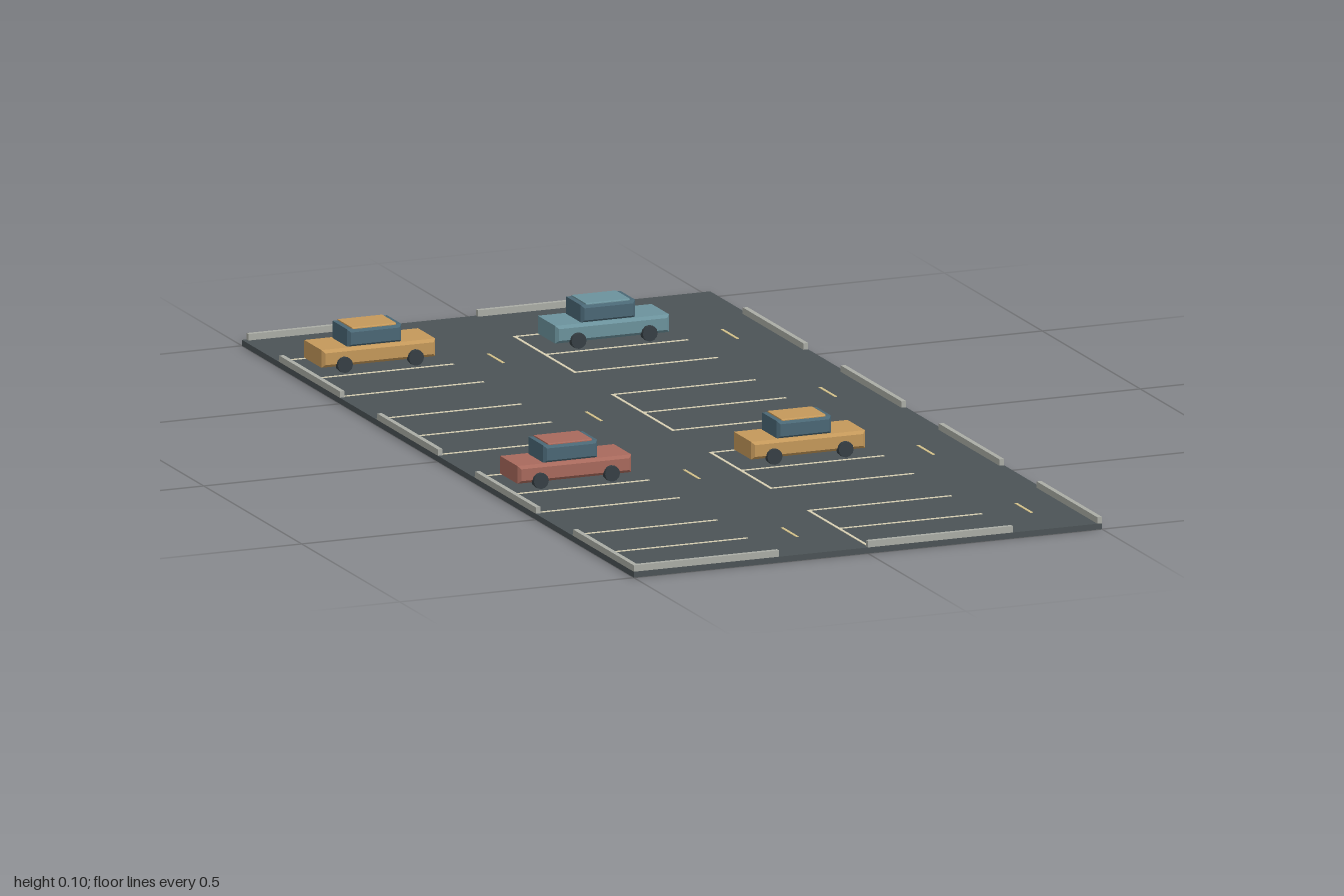
import * as THREE from 'three';

const mat = (name, color) => {
  const m = new THREE.MeshStandardMaterial({ color });
  m.name = name;
  return m;
};

const SLAB = 0.012; // top of the asphalt

export function createModel() {
  const asphalt = mat('asphalt', 0x4b5356);
  const concrete = mat('concrete', 0xaaaca5);
  const paint = mat('bay paint', 0xd8d0b4);
  const lanePaint = mat('lane paint', 0xd2c08a);
  const glass = mat('glass', 0x4a6775);
  const tyre = mat('tyre', 0x363f44);
  const gold = mat('gold body', 0xc4985a);
  const red = mat('red body', 0xa8695c);
  const blue = mat('blue body', 0x6b929c);

  const model = new THREE.Group();
  model.name = 'parkingLot';

  function add(parent, name, geometry, material, x, y, z) {
    const mesh = new THREE.Mesh(geometry, material);
    mesh.name = name;
    mesh.position.set(x, y, z);
    parent.add(mesh);
    return mesh;
  }

  // box given by its x, y and z ranges
  function span(parent, name, material, x0, x1, y0, y1, z0, z1) {
    return add(parent, name, new THREE.BoxGeometry(x1 - x0, y1 - y0, z1 - z0), material,
      (x0 + x1) / 2, (y0 + y1) / 2, (z0 + z1) / 2);
  }

  // block with chamfered edges, centred on its origin
  function chamferedBlock(w, h, d, c) {
    const x = w / 2 - c, y = h / 2 - c;
    const shape = new THREE.Shape([
      new THREE.Vector2(-x, -y), new THREE.Vector2(x, -y),
      new THREE.Vector2(x, y), new THREE.Vector2(-x, y),
    ]);
    const geometry = new THREE.ExtrudeGeometry(shape, {
      depth: d - 2 * c, bevelEnabled: true, bevelSegments: 1, bevelSize: c, bevelThickness: c,
    });
    return geometry.translate(0, 0, c - d / 2);
  }

  const bodyGeometry = chamferedBlock(0.243, 0.036, 0.1, 0.006);
  const cabinGeometry = chamferedBlock(0.116, 0.037, 0.085, 0.006);
  const roofGeometry = chamferedBlock(0.095, 0.006, 0.075, 0.002);
  const wheelGeometry = new THREE.CylinderGeometry(0.016, 0.016, 0.014, 12).rotateX(Math.PI / 2);

  function addCar(x, z, material) {
    const car = new THREE.Group();
    car.name = 'car';
    car.position.set(x, 0, z);
    add(car, 'body', bodyGeometry, material, 0, 0.042, 0);
    add(car, 'cabin', cabinGeometry, glass, -0.006, 0.0765, 0);
    add(car, 'roof', roofGeometry, material, -0.006, 0.0945, 0);
    for (const wx of [-0.076, 0.076]) {
      for (const wz of [-0.051, 0.051]) add(car, 'wheel', wheelGeometry, tyre, wx, SLAB + 0.016, wz);
    }
    model.add(car);
  }

  // eight square tiles, each with two marked bays and a lane dash
  const top = SLAB + 0.001;
  for (const x of [-0.5, 0]) {
    for (const z of [-1, -0.5, 0, 0.5]) {
      const tile = new THREE.Group();
      tile.name = 'tile';
      tile.position.set(x, 0, z);
      span(tile, 'slab', asphalt, 0, 0.5, 0, SLAB, 0, 0.5);
      for (const lz of [0.185, 0.34, 0.493]) {
        span(tile, 'bayLine', paint, 0.008, 0.31, SLAB - 0.001, top, lz - 0.003, lz + 0.003);
      }
      span(tile, 'bayEndLine', paint, 0.002, 0.008, SLAB - 0.001, top, 0.182, 0.496);
      span(tile, 'laneDash', lanePaint, 0.401, 0.407, SLAB - 0.001, top, 0.29, 0.37);
      model.add(tile);
    }
  }

  // kerbs around the rim
  const kerbTop = 0.025;
  for (const x of [-0.5, 0]) {
    for (const z of [-1, 0.99]) {
      span(model, 'endKerb', concrete, x + (x < 0 ? 0.01 : 0), x + 0.31, SLAB, kerbTop, z, z + 0.01);
    }
  }
  for (const z of [-1, -0.5, 0, 0.5]) {
    for (const x of [-0.5, 0.49]) {
      span(model, 'sideKerb', concrete, x, x + 0.01, SLAB, kerbTop, z + 0.19, z + 0.5);
    }
  }

  addCar(-0.338, -0.735, gold);
  addCar(0.161, -0.735, blue);
  addCar(-0.338, 0.265, red);
  addCar(0.161, 0.265, gold);

  return model;
}
